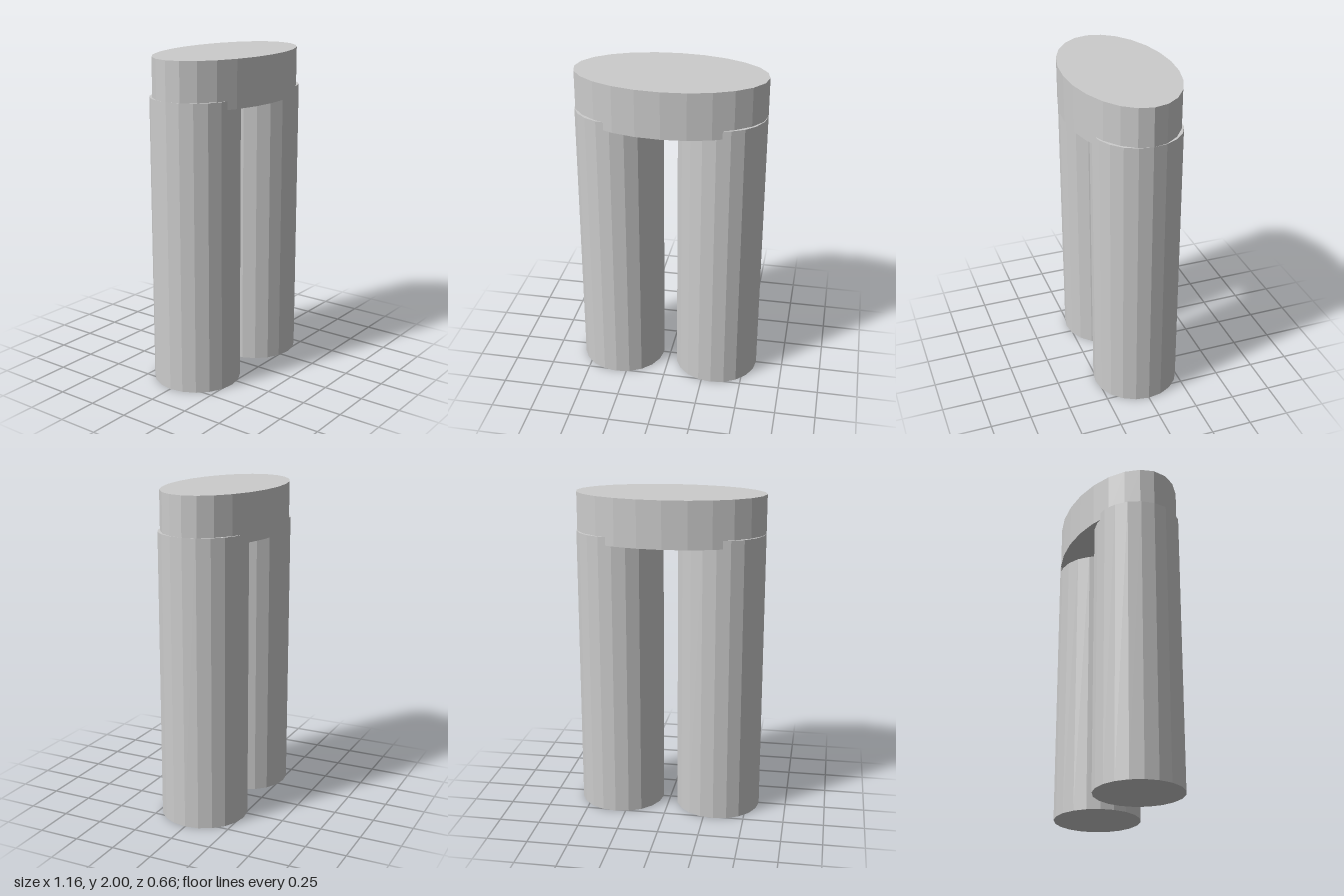
import * as THREE from 'three';

export function createModel() {
  const model = new THREE.Group();
  const grey = new THREE.MeshStandardMaterial({ color: 0xcccccc, flatShading: true });
  grey.name = 'light grey';

  // Two straight cylindrical legs
  const legHeight = 1.765;
  const legGeometry = new THREE.CylinderGeometry(0.267, 0.267, legHeight, 20);
  for (const [name, side] of [['leftLeg', 1], ['rightLeg', -1]]) {
    const leg = new THREE.Mesh(legGeometry, grey);
    leg.name = name;
    leg.position.set(side * 0.312, legHeight / 2, 0);
    model.add(leg);
  }

  // Oval waist block overlapping the leg tops
  const waistBottom = 1.715;
  const waistHeight = 2 - waistBottom;
  const waistGeometry = new THREE.CylinderGeometry(1, 1, waistHeight, 24);
  waistGeometry.scale(0.579, 1, 0.331);
  const waist = new THREE.Mesh(waistGeometry, grey);
  waist.name = 'waist';
  waist.position.y = waistBottom + waistHeight / 2;
  model.add(waist);

  return model;
}
